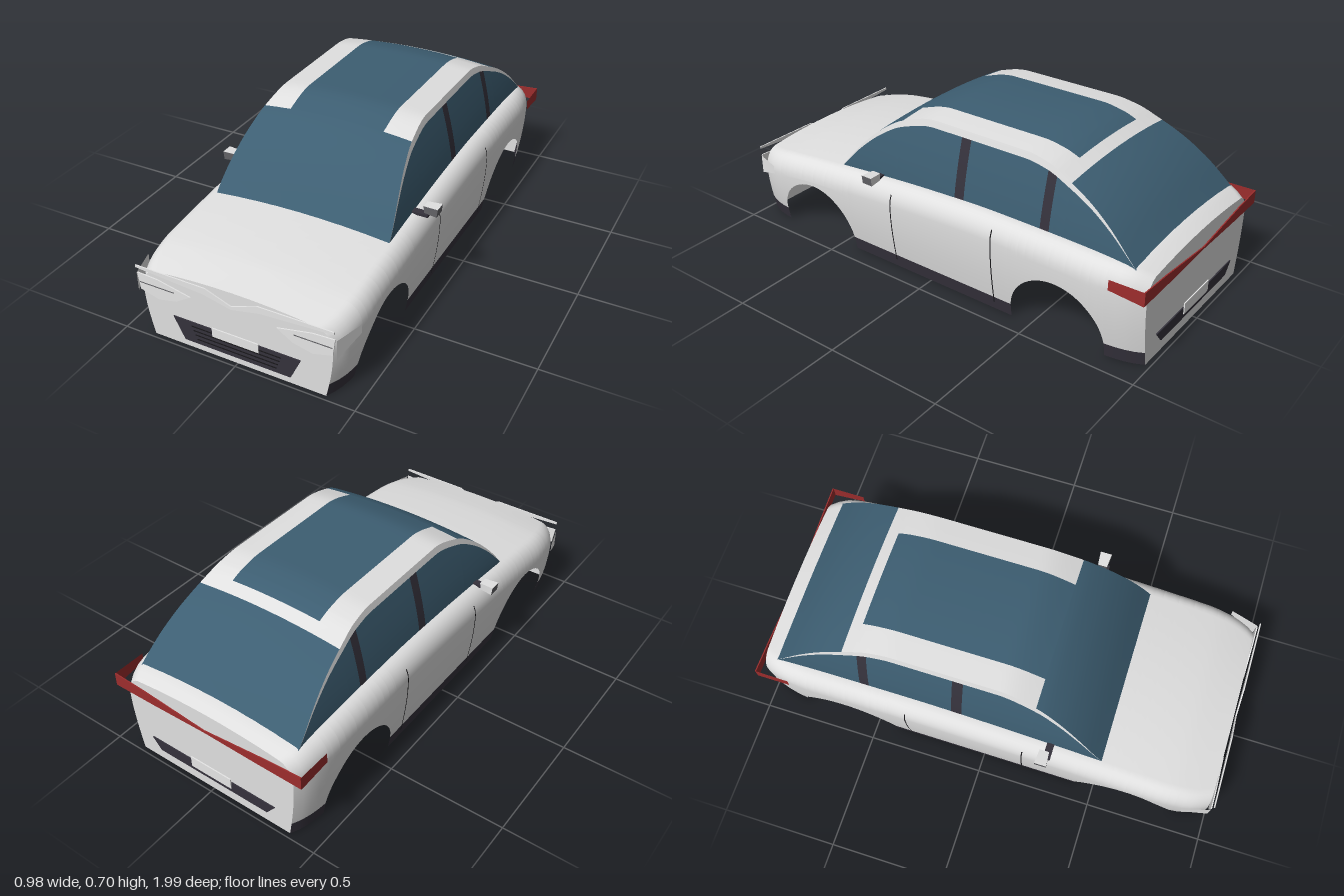
import * as THREE from 'three';

const mat = (name, hex) => {
  const m = new THREE.MeshStandardMaterial({ color: hex, side: THREE.DoubleSide });
  m.name = name;
  return m;
};

// Smooth monotone interpolation through [position, value] pairs
function curve(pts) {
  const n = pts.length;
  const s = pts.slice(1).map((p, i) => (p[1] - pts[i][1]) / (p[0] - pts[i][0]));
  const m = pts.map((_, i) => i === 0 ? s[0] : i === n - 1 ? s[n - 2]
    : s[i - 1] * s[i] > 0 ? 2 * s[i - 1] * s[i] / (s[i - 1] + s[i]) : 0);
  return z => {
    let i = 0;
    while (i < n - 2 && z > pts[i + 1][0]) i++;
    const h = pts[i + 1][0] - pts[i][0];
    const t = Math.min(1, Math.max(0, (z - pts[i][0]) / h)), t2 = t * t, t3 = t2 * t;
    return (2 * t3 - 3 * t2 + 1) * pts[i][1] + (t3 - 2 * t2 + t) * h * m[i]
      + (3 * t2 - 2 * t3) * pts[i + 1][1] + (t3 - t2) * h * m[i + 1];
  };
}

// Skin over cross-sections; pick(i, j) gives the material index of each cell
function skin(sections, pick, count) {
  const w = sections[0].length, lists = Array.from({ length: count }, () => []);
  for (let i = 0; i < sections.length - 1; i++) {
    for (let j = 0; j < w - 1; j++) {
      const a = i * w + j, b = a + w;
      lists[pick(i, j)].push(a, b, a + 1, b, b + 1, a + 1);
    }
  }
  const g = new THREE.BufferGeometry();
  g.setAttribute('position', new THREE.Float32BufferAttribute(sections.flat(2), 3));
  g.setIndex(lists.flat());
  let start = 0;
  lists.forEach((l, k) => { g.addGroup(start, l.length, k); start += l.length; });
  g.computeVertexNormals();
  return g;
}

const stations = (a, b, n, extra) =>
  [...new Set([...Array.from({ length: n + 1 }, (_, i) => a + (b - a) * i / n), ...extra])].sort((p, q) => p - q);

// Plan half width, shoulder deck height and roof centre line along the car
const halfWidth = curve([[-0.98, 0.405], [-0.93, 0.43], [-0.85, 0.448], [-0.75, 0.455],
  [0.75, 0.455], [0.87, 0.445], [0.93, 0.43], [0.98, 0.405]]);
const deck = curve([[-0.98, 0.375], [-0.9, 0.402], [-0.6, 0.413], [-0.3, 0.415], [0, 0.405],
  [0.5, 0.37], [0.8, 0.34], [0.98, 0.305]]);
const roof = curve([[-0.92, 0.412], [-0.8, 0.525], [-0.7, 0.595], [-0.6, 0.645], [-0.5, 0.685], [-0.4, 0.7],
  [0.04, 0.7], [0.2, 0.66], [0.3, 0.6], [0.4, 0.51], [0.51, 0.38]]);
const ROUND_Y = 0.09, ROUND_X = 0.07, CROWN = 0.02, SILL = 0.06;
const ARCHES = [0.63, -0.62], ARCH_R = 0.21, ARCH_Y = 0.04;

function sideX(y, z) {
  const ys = deck(z) - ROUND_Y, W = halfWidth(z);
  if (y <= ys) return W * (0.925 + 0.075 * Math.sin(y / ys * Math.PI / 2));
  const k = Math.min(1, (y - ys) / ROUND_Y);
  return W - ROUND_X * (1 - Math.sqrt(1 - k * k));
}

function lowerEdge(z) {
  for (const c of ARCHES) {
    const d = Math.abs(z - c);
    if (d <= ARCH_R) return ARCH_Y + Math.sqrt(Math.max(0, ARCH_R * ARCH_R - d * d));
  }
  return 0;
}

// Full body cross-section from the right lower edge over the top to the left
function bodySection(z, low = lowerEdge(z)) {
  const ys = deck(z) - ROUND_Y, sill = Math.max(low, SILL), half = [[sideX(low, z), low]];
  for (let i = 0; i <= 8; i++) {
    const y = sill + (ys - sill) * i / 8;
    half.push([sideX(y, z), y]);
  }
  for (let i = 1; i <= 8; i++) {
    const a = i / 8 * Math.PI / 2;
    half.push([halfWidth(z) - ROUND_X * (1 - Math.cos(a)), ys + ROUND_Y * Math.sin(a)]);
  }
  const xe = halfWidth(z) - ROUND_X;
  for (const f of [0.75, 0.5, 0.25]) half.push([xe * f, deck(z) + CROWN * (1 - f * f)]);
  return [...half.map(([x, y]) => [-x, y, z]), [0, deck(z) + CROWN, z],
    ...half.reverse().map(([x, y]) => [x, y, z])];
}

export function createModel() {
  const car = new THREE.Group();
  car.name = 'carBody';
  const paint = mat('silverPaint', 0xe0e0e0), glass = mat('tintedGlass', 0x3d5e72);
  const trim = mat('darkTrim', 0x35323c), black = mat('blackSeam', 0x18171a);
  const red = mat('tailRed', 0x9c2d2d), lamp = mat('lampCover', 0xe6e6e6), grey = mat('mirrorGrey', 0x626266);
  const add = (name, geo, m) => {
    const mesh = new THREE.Mesh(geo, m);
    mesh.name = name;
    car.add(mesh);
    return mesh;
  };

  // Lower body with wheel arches and dark sills
  const archZ = [];
  for (const c of ARCHES) {
    for (let i = 0; i <= 28; i++) archZ.push(c - ARCH_R * Math.cos(i / 28 * Math.PI));
    archZ.push(c - ARCH_R - 0.0005, c + ARCH_R + 0.0005);
  }
  const sections = stations(-0.98, 0.98, 56, archZ).map(z => bodySection(z));
  const last = sections[0].length - 2;
  add('bodyShell', skin(sections, (i, j) => (j === 0 || j === last ? 1 : 0), 2), [paint, trim]);

  // Flat nose and tail panels
  for (const [name, z] of [['nosePanel', 0.98], ['tailPanel', -0.98]]) {
    const outline = bodySection(z, 0).map(p => new THREE.Vector2(p[0], p[1]));
    const g = new THREE.ShapeGeometry(new THREE.Shape(outline));
    if (z < 0) g.rotateY(Math.PI);
    add(name, g.translate(0, 0, z), paint);
  }

  // Cabin: crowned roof with windscreen, roof panel and rear window
  const cz = stations(-0.92, 0.51, 60, [0.2, -0.56, -0.61, -0.1, -0.145, -0.505, -0.545]);
  const edge = z => Math.max(roof(z) - CROWN, deck(z) - 0.008);
  const cabinX = y => 0.387 - 0.067 * Math.pow(Math.max(0, (y - 0.37) / 0.31), 1.4);
  const roofSections = cz.map(z => {
    const w = cabinX(edge(z)), half = [w, (w + 0.21) / 2, 0.21, 0.14, 0.07];
    return [...half.map(x => -x), 0, ...half.slice().reverse()]
      .map(x => [x, edge(z) + (roof(z) - edge(z)) * (1 - (x / w) ** 2), z]);
  });
  add('roofAndScreens', skin(roofSections, (i, j) => {
    const z = (cz[i] + cz[i + 1]) / 2;
    if (z > 0.2 || z < -0.61) return 1;
    return z > -0.56 && j >= 2 && j <= 7 ? 1 : 0;
  }, 2), [paint, glass]);

  // Cabin sides: windows, pillars and painted roof rail
  for (const s of [-1, 1]) {
    const sideSections = cz.map(z => {
      const y0 = deck(z) - 0.01, h = edge(z) - y0;
      const col = [0, 0.2, 0.4, 0.6, 0.75, 0.9, 1].map(f => [s * cabinX(y0 + h * f), y0 + h * f, z]);
      return s < 0 ? col : col.reverse();
    });
    add(s < 0 ? 'rightWindows' : 'leftWindows', skin(sideSections, (i, j) => {
      const z = (cz[i] + cz[i + 1]) / 2;
      if (j === (s < 0 ? 5 : 0)) return 0;
      return (z > -0.145 && z < -0.1) || (z > -0.545 && z < -0.505) ? 2 : 1;
    }, 3), [paint, glass, trim]);
  }

  // Thin plates on the nose (dir 1) and tail (dir -1)
  const plate = (name, pts, m, z, depth = 0.005) => {
    const shape = new THREE.Shape(pts.map(p => new THREE.Vector2(p[0], p[1])));
    return add(name, new THREE.ExtrudeGeometry(shape, { depth, bevelEnabled: false }).translate(0, 0, z), m);
  };
  const mirrored = half => [...half, ...half.slice().reverse().map(([x, y]) => [-x, y])];
  const bar = (w, y0, y1) => mirrored([[w, y0], [w, y1]]);
  plate('frontGrille', mirrored([[0.23, 0.03], [0.275, 0.125]]), trim, 0.98);
  for (let i = 0; i < 4; i++) {
    const y = 0.05 + i * 0.0185;
    plate('grilleSlat', bar(0.172 + i * 0.007, y, y + 0.004), black, 0.984, 0.003);
  }
  plate('frontPlate', bar(0.1, 0.095, 0.135), lamp, 0.984);
  plate('noseBar', [...mirrored([[0.42, 0.31], [0.42, 0.32], [0.11, 0.319]]).slice(0, 3), [0, 0.277],
    [-0.11, 0.319], [-0.42, 0.32], [-0.42, 0.31], [-0.12, 0.29], [0, 0.263], [0.12, 0.29]], lamp, 0.992);
  plate('rearGrille', mirrored([[0.27, 0.05], [0.31, 0.1]]), trim, -0.985);
  plate('rearPlate', bar(0.1, 0.07, 0.12), lamp, -0.989);

  for (const s of [-1, 1]) {
    const side = s < 0 ? 'right' : 'left';
    const flip = pts => pts.map(([x, y]) => [s * x, y]);
    // Lamps
    plate(side + 'Headlight', flip([[0.42, 0.283], [0.33, 0.278], [0.185, 0.247], [0.25, 0.205],
      [0.33, 0.187], [0.41, 0.21]]), lamp, 0.986);
    plate(side + 'HeadlightLine', flip([[0.255, 0.242], [0.41, 0.242], [0.41, 0.245], [0.255, 0.245]]),
      grey, 0.99, 0.003);
    plate(side + 'TailLight', flip([[0.455, 0.31], [0.455, 0.368], [0.3, 0.358], [0, 0.327], [0, 0.318],
      [0.25, 0.312]]), red, -0.997);
    const strip = (name, rows, m) => add(name, skin(rows.map(r => r.map(([x, y, z]) => [s * x, y, z])), () => 0, 1), [m]);
    strip(side + 'HeadlightSide', [[[0.46, 0.24, 0.87], [0.46, 0.278, 0.87]],
      [[0.425, 0.195, 0.988], [0.425, 0.278, 0.988]]], lamp);
    strip(side + 'TailLightSide', [[[0.455, 0.308, -0.995], [0.455, 0.368, -0.995]],
      [[0.458, 0.322, -0.85], [0.456, 0.365, -0.85]]], red);
    // Door seams
    for (const [z, top] of [[0.18, 0.355], [-0.33, 0.375]]) {
      const seam = [-0.0025, 0.0025].map(dz => Array.from({ length: 15 }, (_, i) => {
        const y = 0.035 + (top - 0.035) * i / 14;
        return [sideX(y, z) + 0.002, y, z + dz];
      }));
      strip(side + 'DoorSeam', seam, black);
    }
    // Door mirror: dark arm and tapered housing
    const arm = add(side + 'MirrorArm', new THREE.BoxGeometry(0.075, 0.012, 0.03), trim);
    arm.position.set(s * 0.415, 0.388, 0.285);
    const head = new THREE.BoxGeometry(0.062, 0.036, 0.05), p = head.attributes.position;
    for (let i = 0; i < p.count; i++) {
      if (p.getX(i) * s < 0) p.setXYZ(i, p.getX(i) + (p.getY(i) < 0 ? s * 0.004 : 0), p.getY(i) * 0.85, p.getZ(i) * 0.8);
      else p.setXYZ(i, p.getX(i) - (p.getY(i) < 0 ? s * 0.004 : 0), p.getY(i), p.getZ(i));
    }
    head.computeVertexNormals();
    add(side + 'MirrorHousing', head, [grey, grey, paint, grey, grey, paint]).position.set(s * 0.46, 0.409, 0.27);
  }
  return car;
}
